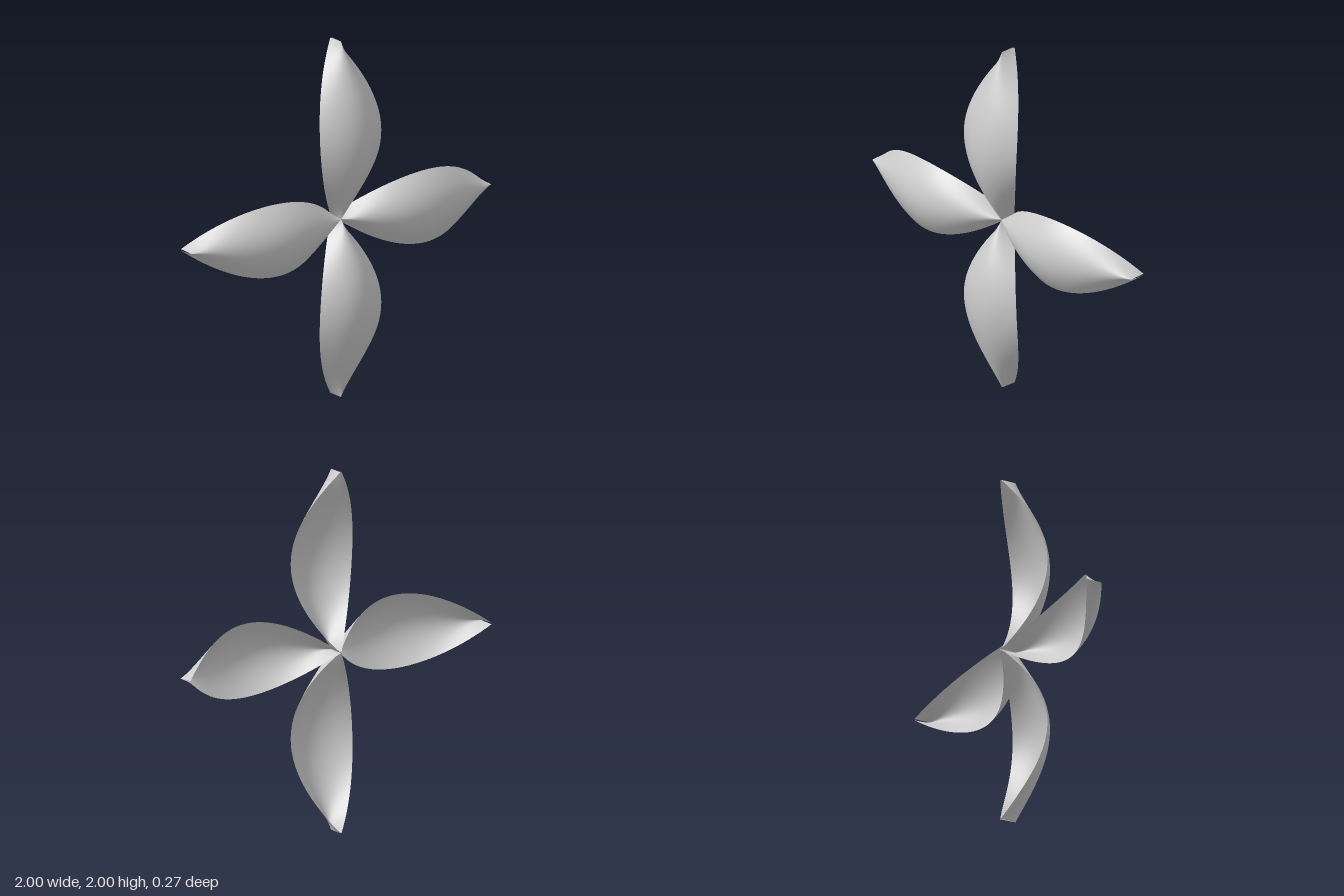
import * as THREE from 'three';

const HALF_WIDTH = 0.2;   // widest half-width of a petal
const DEPTH = 0.09;       // how far the side edges curl back from the ridge
const TIP_GAP = 0.004;    // petals stay slightly open at both ends

// One cupped petal running from the hub (y = 0) to its tip (y = 1)
function petalGeometry() {
  const geometry = new THREE.PlaneGeometry(2, 1, 24, 64);
  const pos = geometry.attributes.position;
  for (let i = 0; i < pos.count; i++) {
    const across = pos.getX(i);
    const t = THREE.MathUtils.clamp(pos.getY(i) + 0.5, 0, 1);
    const width = TIP_GAP + HALF_WIDTH * 4 * t * (1 - t);
    const ridge = -0.042 + 0.177 * Math.sin(Math.PI * Math.pow(t, 0.9));
    pos.setXYZ(i, across * width, t, ridge - DEPTH * across * across);
  }
  geometry.computeVertexNormals();
  return geometry;
}

export function createModel() {
  const flower = new THREE.Group();
  flower.name = 'fourPetalFlower';
  const material = new THREE.MeshStandardMaterial({ color: 0xcccccc, side: THREE.DoubleSide });
  const geometry = petalGeometry();

  // Four identical petals around the hub
  ['topPetal', 'leftPetal', 'bottomPetal', 'rightPetal'].forEach((name, i) => {
    const petal = new THREE.Mesh(geometry, material);
    petal.name = name;
    petal.position.y = 1;
    petal.rotation.z = -i * Math.PI / 2;
    flower.add(petal);
  });
  return flower;
}
